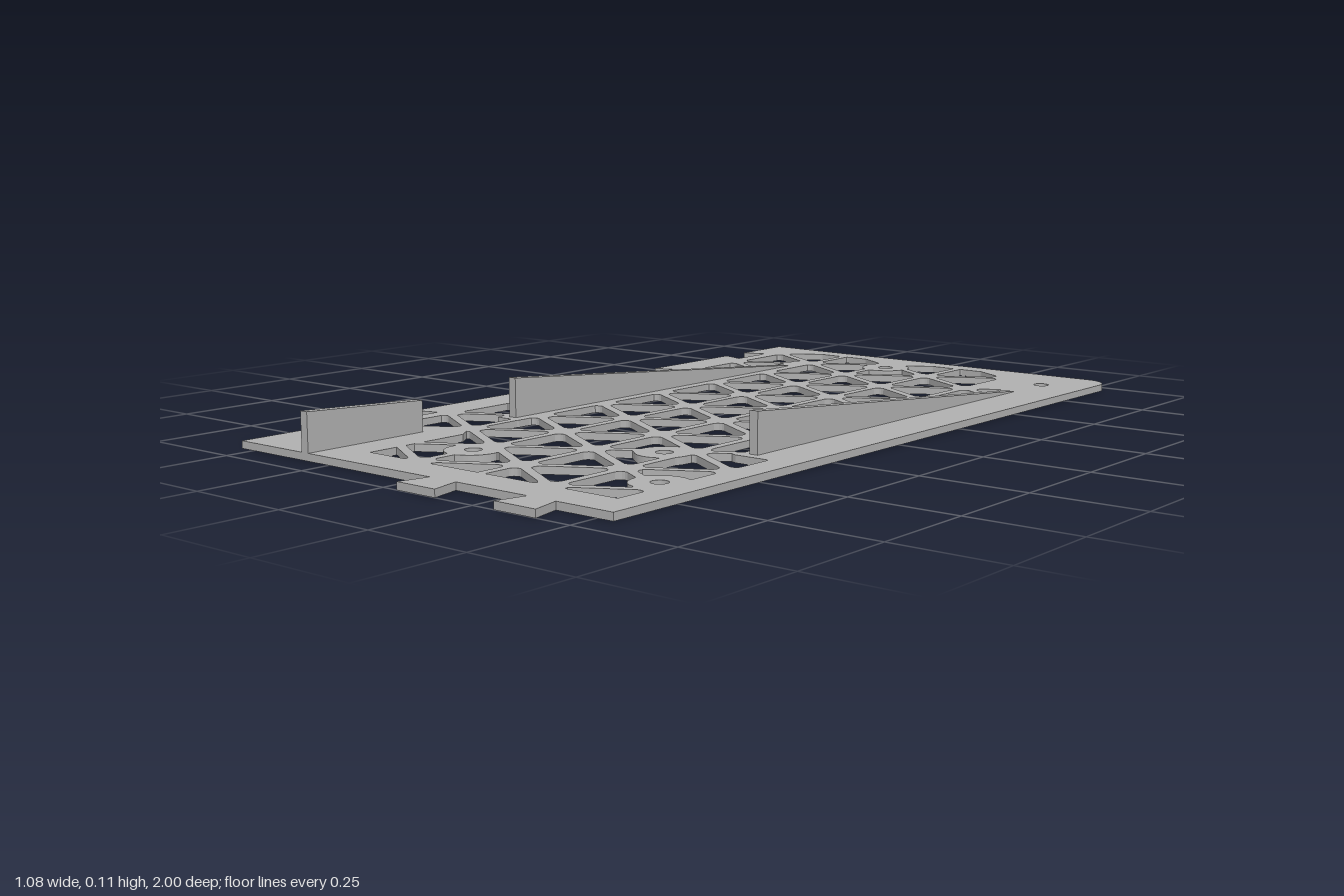
import * as THREE from 'three';

const T = 0.017;                       // plate thickness
const W = 0.1875;                      // lattice column width
const P = (W * 2) / Math.sqrt(3);      // lattice pitch along z
const X0 = -0.455, Z0 = -0.677;        // first lattice node
const BAR = 0.011, ROUND = 0.016;      // half bar width, corner rounding

// screw positions [x, z], with a solid boss around each
const screws = [[-0.06, -0.847], [0.42, -0.847], [0.25, 0.45], [-0.08, 0.683], [0.437, 0.683]];
const BOSS_R = 0.063, SCREW_R = 0.019;

// areas that stay solid [xMin, xMax, zMin, zMax]
const solids = [
  [-0.325, -0.255, -0.79, 0.375],      // under the left rail
  [0.38, 1, -2, 0.38],                 // under the right rail
  [0.288, 1, -2, -0.715],              // rounded corner
  [-0.355, -0.225, 0.57, 2],           // under the short rail
  [-0.45, -0.3, 0.6, 0.64],
  [-2, -0.44, -2, 2], [0.47, 2, -2, 2], // border
  [-2, 2, -2, -0.945], [-2, 2, 0.84, 2],
];

// distance from a point to the nearest solid material around one triangular cell
function clearance(x, z, cx, cz, dir) {
  let d = Infinity;
  const core = P / Math.sqrt(3) - 2 * BAR - 2 * ROUND;
  for (let c = 0; c < 3; c++) {
    for (let k = -2; k <= 2; k++) {
      const a = dir + (c * 2 * Math.PI) / 3 + (k * Math.PI) / 6;
      const reach = ROUND + core * Math.cos((k * Math.PI) / 6);
      d = Math.min(d, reach - (x - cx) * Math.cos(a) - (z - cz) * Math.sin(a));
    }
  }
  for (const [sx, sz] of screws) d = Math.min(d, Math.hypot(x - sx, z - sz) - BOSS_R);
  for (const [a, b, e, f] of solids) {
    const dx = Math.max(a - x, x - b), dz = Math.max(e - z, z - f);
    const box = dx > 0 && dz > 0 ? Math.hypot(dx, dz) : Math.max(dx, dz);
    d = Math.min(d, box);
  }
  return d;
}

// outline of one lattice opening, found by walking outwards from its roomiest point
function cellHole(cx, cz, dir) {
  let best = 0.013, px = null, pz = null;
  for (let i = -12; i <= 12; i++) {
    for (let j = -12; j <= 12; j++) {
      const x = cx + i * 0.009, z = cz + j * 0.009;
      const d = clearance(x, z, cx, cz, dir);
      if (d > best) { best = d; px = x; pz = z; }
    }
  }
  if (px === null) return null;
  const ring = [];
  const N = 90;
  for (let i = 0; i < N; i++) {
    const a = (i / N) * Math.PI * 2;
    let t = 0;
    for (let s = 0; s < 150; s++) {
      const d = clearance(px + t * Math.cos(a), pz + t * Math.sin(a), cx, cz, dir);
      if (d < 1e-5) break;
      t += d;
    }
    ring.push(new THREE.Vector2(px + t * Math.cos(a), -(pz + t * Math.sin(a))));
  }
  // drop points lying on straight edges
  const kept = ring.filter((p, i) => {
    const u = p.clone().sub(ring[(i + N - 1) % N]).normalize();
    const v = ring[(i + 1) % N].clone().sub(p).normalize();
    return Math.abs(u.cross(v)) > 0.01;
  });
  return new THREE.Path(kept);
}

function plateShape() {
  const s = new THREE.Shape();
  const to = (x, z) => s.lineTo(x, -z);
  s.moveTo(-0.54, -0.93);
  // dovetail tabs on the front edge
  for (const x of [0.094, 0.361]) {
    to(x - 0.037, 0.93); to(x - 0.054, 1); to(x + 0.054, 1); to(x + 0.037, 0.93);
  }
  to(0.54, 0.93);
  // rounded back corner
  s.lineTo(0.54, 0.935);
  s.absarc(0.475, 0.935, 0.065, 0, Math.PI / 2, false);
  to(-0.54, -1);
  // dovetail sockets on the right-hand edge
  for (const z of [-0.79, -0.395, 0.04, 0.478]) {
    to(-0.54, z - 0.04); to(-0.48, z - 0.06); to(-0.48, z + 0.06); to(-0.54, z + 0.04);
  }
  s.closePath();

  // triangular lattice
  for (let k = 0; k < 5; k++) {
    for (let m = -2; m < 9; m++) {
      const odd = k % 2;
      const right = cellHole(X0 + W * (k + 1 / 3), Z0 + P * (m + (odd ? 0 : 0.5)), 0);
      const left = cellHole(X0 + W * (k + 2 / 3), Z0 + P * (m + (odd ? 0.5 : 0)), Math.PI);
      if (right) s.holes.push(right);
      if (left) s.holes.push(left);
    }
  }
  // screw holes
  for (const [x, z] of screws) {
    s.holes.push(new THREE.Path().absarc(x, -z, SCREW_R, 0, Math.PI * 2, true));
  }
  return s;
}

// upright rail with a sloping top, between two z positions
function rail(name, x, zBack, hBack, zFront, hFront, material) {
  const s = new THREE.Shape([[-zFront, T], [-zBack, T], [-zBack, hBack], [-zFront, hFront]]
    .map(([a, b]) => new THREE.Vector2(a, b)));
  const g = new THREE.ExtrudeGeometry(s, { depth: 0.021, bevelEnabled: false });
  g.translate(0, 0, -0.0105).rotateY(Math.PI / 2);
  const mesh = new THREE.Mesh(g, material);
  mesh.position.x = x;
  mesh.name = name;
  return mesh;
}

export function createModel() {
  const group = new THREE.Group();
  group.name = 'latticePanel';
  const grey = new THREE.MeshStandardMaterial({ color: 0xb0b0b0 });
  grey.name = 'grey';

  const plateGeo = new THREE.ExtrudeGeometry(plateShape(), { depth: T, bevelEnabled: false, curveSegments: 16 });
  plateGeo.rotateX(-Math.PI / 2);
  const plate = new THREE.Mesh(plateGeo, grey);
  plate.name = 'latticePlate';
  group.add(plate);

  group.add(rail('rightRail', -0.294, -0.7, T + 0.002, 0.355, 0.11, grey));
  group.add(rail('leftRail', 0.412, -0.7, T + 0.002, 0.355, 0.11, grey));
  group.add(rail('shortRail', -0.326, 0.612, 0.088, 0.93, 0.105, grey));
  return group;
}
